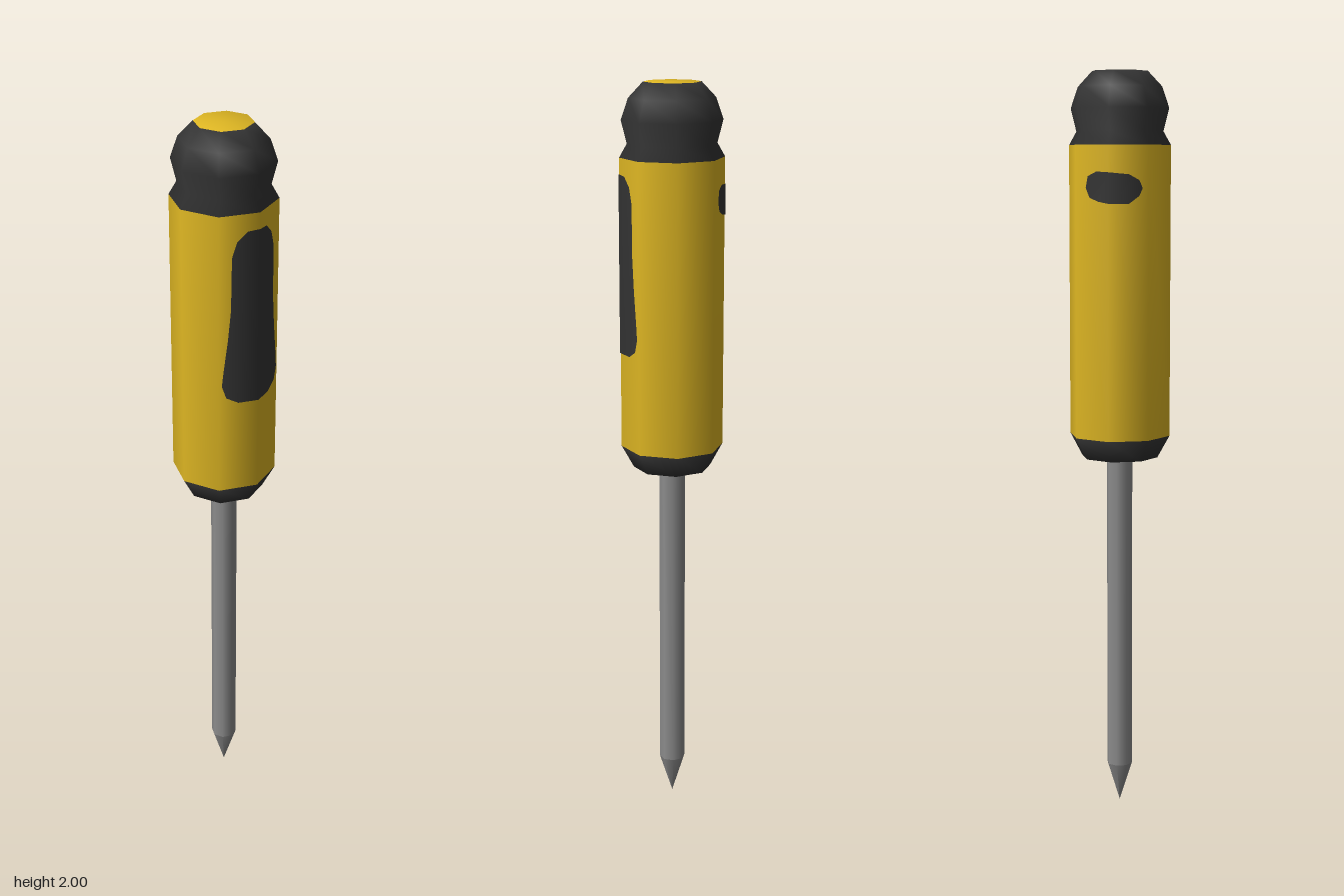
import * as THREE from 'three';
import { mergeGeometries } from 'three/addons/utils/BufferGeometryUtils.js';

const SIDES = 8;
const RADIUS = 0.137;

const material = (name, color) => {
  const m = new THREE.MeshStandardMaterial({ color });
  m.name = name;
  return m;
};
const lathe = (pts) => new THREE.LatheGeometry(pts.map(([r, y]) => new THREE.Vector2(r, y)), SIDES);

// Reorder a lathe's faces into one material group per run of profile bands
function groupBands(geometry, bandMaterials) {
  const bands = bandMaterials.length;
  const src = geometry.index.array;
  const index = [];
  bandMaterials.forEach((mat, j) => {
    geometry.addGroup(index.length, SIDES * 6, mat);
    for (let i = 0; i < SIDES; i++) {
      const start = (i * bands + j) * 6;
      index.push(...src.slice(start, start + 6));
    }
  });
  geometry.setIndex(index);
  return geometry;
}

// Thin inlay wrapped over the two facets meeting at the front ridge;
// each half outline runs from the ridge bottom outwards to the ridge top
function inlay(rightHalf, leftHalf) {
  const slope = Math.tan(Math.PI / SIDES);
  const halves = [[rightHalf, 1], [leftHalf, -1]].map(([pts, side]) => {
    const shape = new THREE.Shape(pts.map(([x, y]) => new THREE.Vector2(x * side, y)));
    const g = new THREE.ShapeGeometry(shape);
    const p = g.attributes.position;
    for (let i = 0; i < p.count; i++) {
      const x = p.getX(i);
      const z = RADIUS + 0.002 - Math.abs(x) * slope;
      p.setZ(i, z);
      const n = new THREE.Vector3(x, 0, z).normalize();
      g.attributes.normal.setXYZ(i, n.x, n.y, n.z);
    }
    return g;
  });
  return mergeGeometries(halves);
}

export function createModel() {
  const yellow = material('yellow plastic', 0xdfb723);
  const black = material('black rubber', 0x333333);
  const steel = material('grey steel', 0x8c8c8c);

  const group = new THREE.Group();
  group.name = 'screwdriver';
  const add = (name, geometry, mat) => {
    const mesh = new THREE.Mesh(geometry, mat);
    mesh.name = name;
    group.add(mesh);
    return mesh;
  };

  // Handle: black collar, yellow grip, black pommel with a yellow end cap
  const handle = lathe([
    [0, 0.98], [0.104, 0.98], [RADIUS, 1.04], [RADIUS, 1.81], [0.117, 1.845],
    [0.132, 1.905], [0.113, 1.96], [0.075, 2], [0, 2],
  ]);
  add('handle', groupBands(handle, [1, 1, 0, 1, 1, 1, 1, 0]), [yellow, black]);

  // Steel shaft with pointed tip
  add('shaft', lathe([[0.035, 0.11], [0.035, 0.99]]), steel);
  add('tip', lathe([[0, 0], [0.035, 0.11]]), steel);

  // Long flared grip inlay on the front
  const grip = [
    [0, 1.297], [0.05, 1.297], [0.08, 1.315], [0.091, 1.35], [0.087, 1.39], [0.076, 1.48],
    [0.069, 1.56], [0.067, 1.7], [0.055, 1.74], [0.03, 1.765], [0, 1.768],
  ];
  add('gripInlay', inlay(grip, grip), black);

  // Small oval inlay on the back
  const back = add('backInlay', inlay(
    [[0, 1.66], [0.05, 1.66], [0.075, 1.68], [0.083, 1.7], [0.075, 1.72], [0.05, 1.735], [0, 1.74]],
    [[0, 1.66], [0.03, 1.665], [0.055, 1.675], [0.066, 1.7], [0.06, 1.73], [0.035, 1.742], [0, 1.74]],
  ), black);
  back.rotation.y = Math.PI;

  return group;
}
